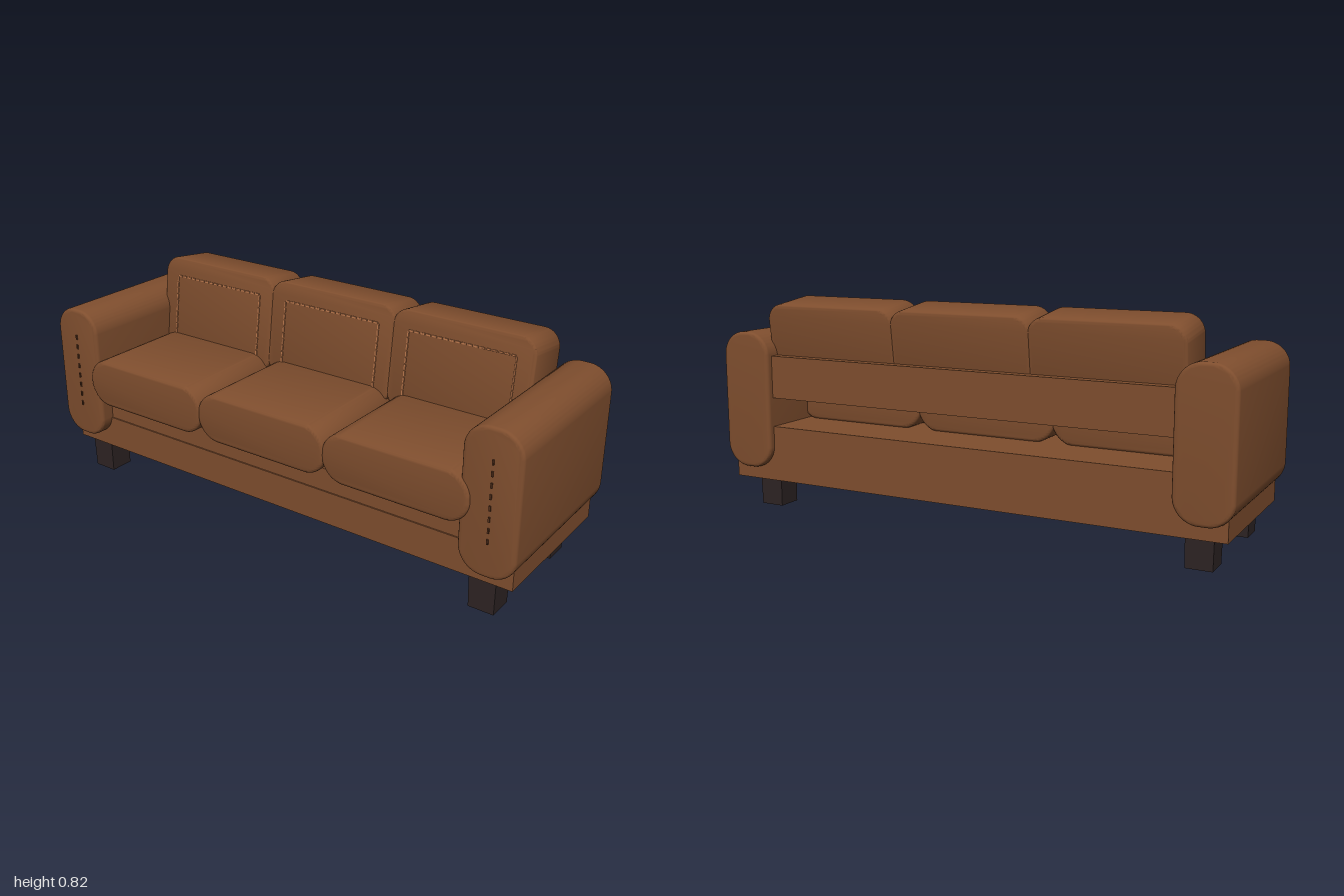
import * as THREE from 'three';
import { toCreasedNormals } from 'three/addons/utils/BufferGeometryUtils.js';

const material = (name, color) => {
  const m = new THREE.MeshStandardMaterial({ color });
  m.name = name;
  return m;
};

export function createModel() {
  const leather = material('brown leather', 0x7f4e2e);
  const wood = material('dark wood', 0x2e2424);
  const lightThread = material('light thread', 0xb5744a);
  const darkThread = material('dark thread', 0x54301c);
  const sofa = new THREE.Group();
  sofa.name = 'sofa';

  function add(parent, name, geometry, mat, x, y, z) {
    const mesh = new THREE.Mesh(geometry, mat);
    mesh.name = name;
    mesh.position.set(x, y, z);
    parent.add(mesh);
    return mesh;
  }
  const box = (parent, name, mat, w, h, d, x, y, z) =>
    add(parent, name, new THREE.BoxGeometry(w, h, d), mat, x, y, z);

  // Centred pad: rounded rectangle seen from the front, softly bevelled in depth
  function pad(w, h, d, radius, bevel) {
    const a = w / 2 - bevel, b = h / 2 - bevel, r = radius - bevel;
    const s = new THREE.Shape();
    s.absarc(a - r, b - r, r, 0, Math.PI / 2);
    s.absarc(-a + r, b - r, r, Math.PI / 2, Math.PI);
    s.absarc(-a + r, -b + r, r, Math.PI, Math.PI * 1.5);
    s.absarc(a - r, -b + r, r, Math.PI * 1.5, Math.PI * 2);
    const g = new THREE.ExtrudeGeometry(s, {
      depth: d - 2 * bevel, bevelEnabled: true, bevelThickness: bevel,
      bevelSize: bevel, bevelSegments: 4, curveSegments: 10,
    });
    g.translate(0, 0, -d / 2 + bevel);
    return toCreasedNormals(g, 0.7);
  }

  // Row of short stitches between two points on a front face
  function stitches(parent, mat, x0, y0, x1, y1, z, count, fill) {
    const dx = (x1 - x0) / count, dy = (y1 - y0) / count, t = 0.006;
    const g = new THREE.BoxGeometry(Math.abs(dx) * fill || t, Math.abs(dy) * fill || t, t);
    for (let i = 0; i < count; i++) {
      add(parent, 'stitch', g, mat, x0 + dx * (i + 0.5), y0 + dy * (i + 0.5), z);
    }
  }

  // Plinth, seat deck and back board
  box(sofa, 'base', leather, 1.95, 0.125, 0.59, 0, 0.1825, -0.015);
  box(sofa, 'seatDeck', leather, 1.6, 0.085, 0.585, 0, 0.2875, -0.0175);
  box(sofa, 'backBoard', leather, 1.6, 0.16, 0.05, 0, 0.52, -0.285);

  // Slightly tapered square legs
  const legShape = new THREE.CylinderGeometry(0.0695, 0.0665, 0.12, 4, 1).rotateY(Math.PI / 4);
  const legGeometry = toCreasedNormals(legShape, 0.5);

  // Arms with a stitched seam on the front, and legs
  const armGeometry = pad(0.207, 0.521, 0.663, 0.09, 0.013);
  for (const side of [-1, 1]) {
    add(sofa, side > 0 ? 'leftArm' : 'rightArm', armGeometry, leather, side * 0.8965, 0.4275, -0.0035);
    const seam = new THREE.Group();
    seam.name = 'armSeam';
    sofa.add(seam);
    stitches(seam, darkThread, side * 0.9, 0.28, side * 0.9, 0.595, 0.3295, 8, 0.45);
    for (const z of [0.224, -0.2]) add(sofa, 'leg', legGeometry, wood, side * 0.865, 0.06, z);
  }

  // Three seat cushions and three reclined back cushions
  const seatGeometry = pad(0.565, 0.185, 0.437, 0.09, 0.015);
  const backGeometry = pad(0.557, 0.37, 0.19, 0.065, 0.012);
  for (const i of [-1, 0, 1]) {
    add(sofa, 'seatCushion', seatGeometry, leather, i * 0.55, 0.4175, 0.1185);

    const back = new THREE.Group();
    back.name = 'backCushion';
    back.position.set(i * 0.541, 0.6215, -0.18);
    back.rotation.x = -0.127;
    sofa.add(back);
    add(back, 'backPad', backGeometry, leather, 0, 0, 0);
    const z = 0.096, top = 0.112, low = -0.13, half = 0.208;
    stitches(back, lightThread, -half, top, half, top, z, 18, 0.75);
    for (const s of [-half, half]) stitches(back, lightThread, s, low, s, top, z, 10, 0.75);
  }
  return sofa;
}
